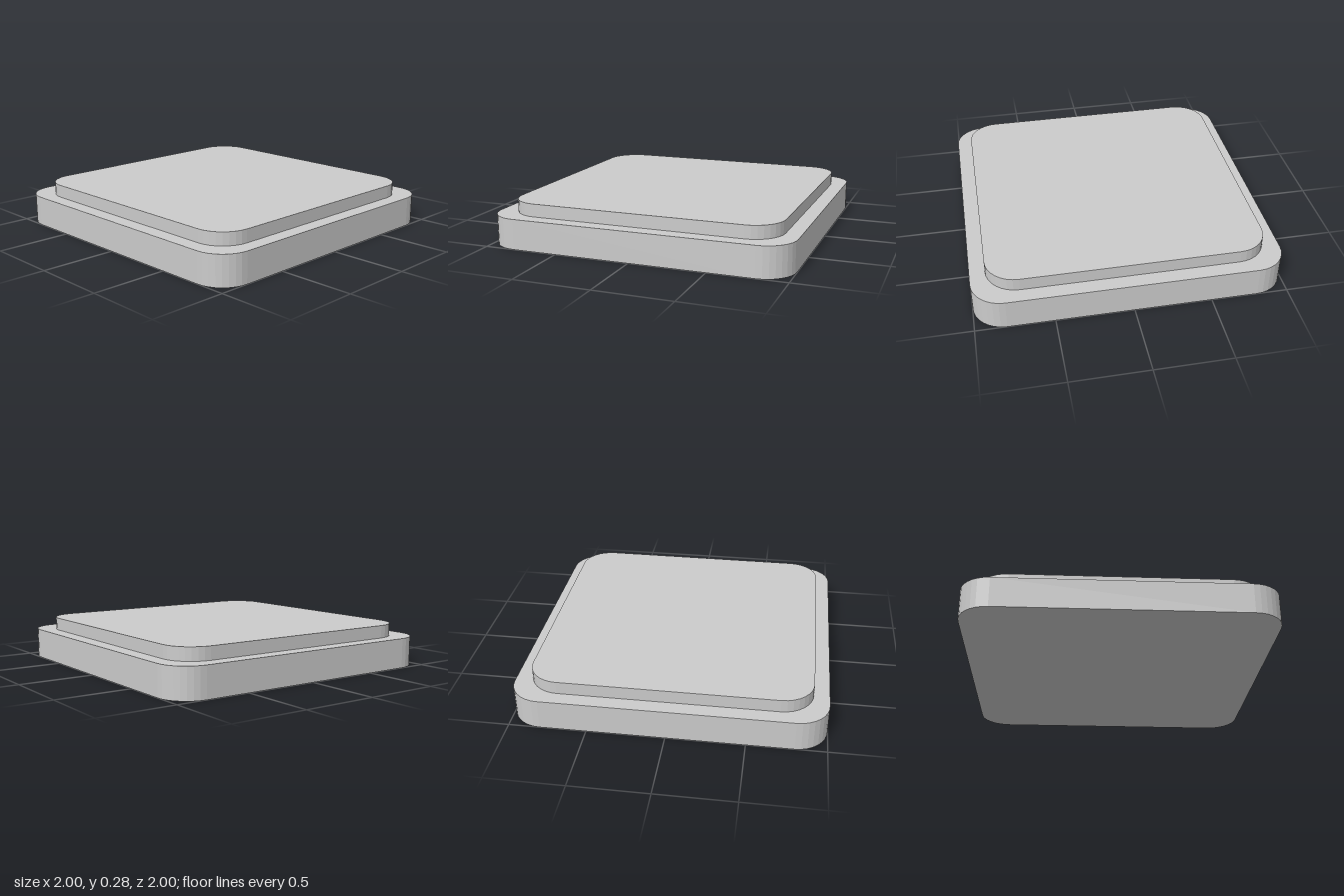
import * as THREE from 'three';

const material = new THREE.MeshStandardMaterial({ color: 0xcccccc, flatShading: true });

// Square slab with rounded corners of four facets each, standing on height y
function slab(name, half, radius, y, height) {
  const inner = half - radius;
  const outline = new THREE.Shape();
  const corners = [[1, 1], [-1, 1], [-1, -1], [1, -1]];
  corners.forEach(([sx, sy], i) => {
    const start = i * Math.PI / 2;
    outline.absarc(sx * inner, sy * inner, radius, start, start + Math.PI / 2, false);
  });
  outline.closePath();

  const geometry = new THREE.ExtrudeGeometry(outline, {
    depth: height, bevelEnabled: false, curveSegments: 4,
  });
  geometry.rotateX(-Math.PI / 2);

  const mesh = new THREE.Mesh(geometry, material);
  mesh.name = name;
  mesh.position.y = y;
  return mesh;
}

export function createModel() {
  const model = new THREE.Group();
  model.name = 'steppedPlate';
  model.add(slab('base', 1, 0.2, 0, 0.2));
  model.add(slab('raisedTop', 0.9, 0.2, 0.2, 0.085));
  return model;
}
